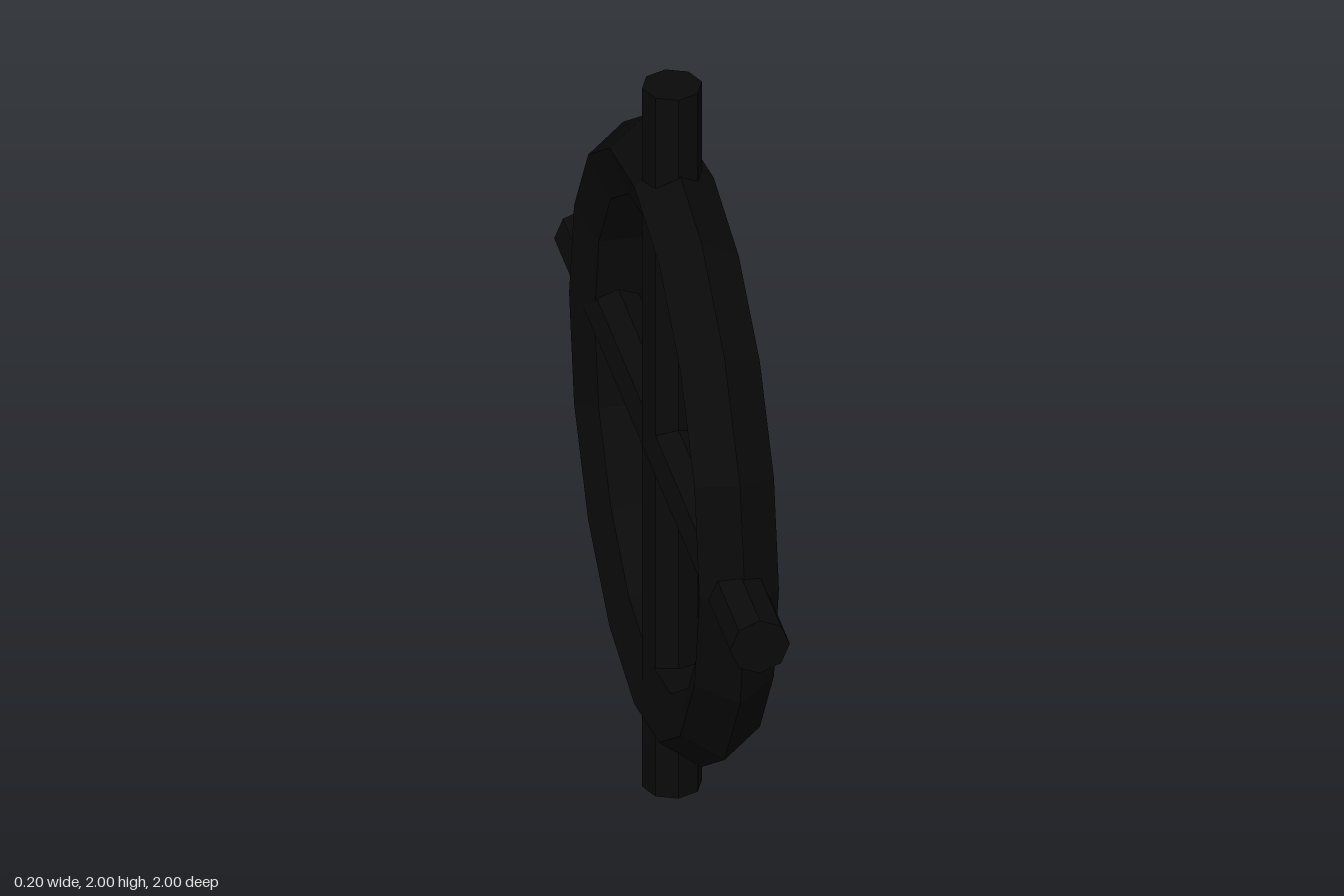
import * as THREE from 'three';

export function createModel() {
  const group = new THREE.Group();
  const black = new THREE.MeshStandardMaterial({ color: 0x0a0a0a });
  black.name = 'black';
  black.flatShading = true;

  const centreY = 0.98;

  function add(name, geometry, x, y) {
    const mesh = new THREE.Mesh(geometry, black);
    mesh.name = name;
    mesh.position.set(x, y, 0);
    group.add(mesh);
  }

  // Ring facing sideways, with a five-sided section pointing outward
  add('ring', new THREE.TorusGeometry(0.708, 0.105, 5, 16).rotateY(Math.PI / 2), 0, centreY);

  // Two crossing eight-sided bars that run past the ring
  const bar = () => new THREE.CylinderGeometry(0.075, 0.075, 2, 8);
  add('verticalBar', bar(), -0.005, 1);
  add('horizontalBar', bar().rotateX(Math.PI / 2), -0.005, centreY);

  return group;
}
